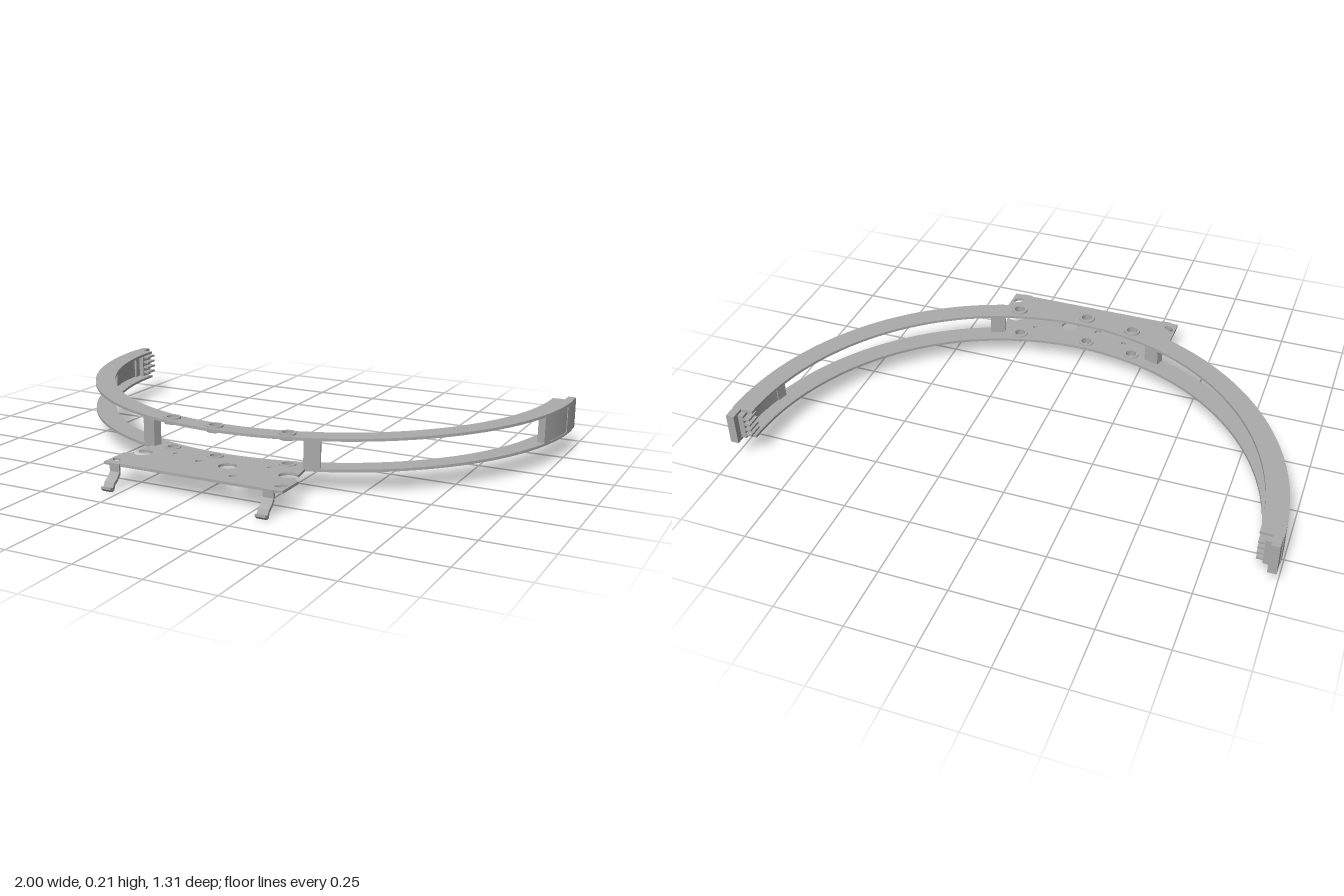
import * as THREE from 'three';

const CZ = -0.605; // centre of the arc in z
const metal = new THREE.MeshStandardMaterial({ color: 0xababab });
metal.name = 'grey metal';

// Plan shapes use (x, -z), then are raised between y0 and y1
function slab(name, shape, y0, y1) {
  const geo = new THREE.ExtrudeGeometry(shape, { depth: y1 - y0, bevelEnabled: false, curveSegments: 64 });
  geo.rotateX(-Math.PI / 2);
  geo.translate(0, y0, 0);
  const mesh = new THREE.Mesh(geo, metal);
  mesh.name = name;
  return mesh;
}

// Ring sector; angle 0 points to the front, positive towards +x
function sector(r0, r1, a0, a1) {
  const s = new THREE.Shape();
  const q = Math.PI / 2;
  s.absarc(0, -CZ, r1, a0 - q, a1 - q, false);
  s.absarc(0, -CZ, r0, a1 - q, a0 - q, true);
  s.closePath();
  return s;
}

function hole(shape, x, z, rx, rz = rx, turn = 0) {
  const p = new THREE.Path();
  p.absellipse(x, -z, rx, rz, 0, Math.PI * 2, true, turn);
  shape.holes.push(p);
}

function box(name, x0, x1, y0, y1, z0, z1) {
  const mesh = new THREE.Mesh(new THREE.BoxGeometry(x1 - x0, y1 - y0, z1 - z0), metal);
  mesh.position.set((x0 + x1) / 2, (y0 + y1) / 2, (z0 + z1) / 2);
  mesh.name = name;
  return mesh;
}

export function createModel() {
  const model = new THREE.Group();
  model.name = 'curvedBracket';
  const eyelets = [[-0.22, 0.333], [-0.027, 0.358], [0.245, 0.325]];

  // Two half-ring rails
  for (const [name, y] of [['lowerRail', 0.08], ['upperRail', 0.19]]) {
    const s = sector(0.92, 1, -Math.PI / 2, Math.PI / 2);
    eyelets.forEach(([x, z]) => hole(s, x, z, 0.02));
    model.add(slab(name, s, y, y + 0.01));
  }

  // Flanged eyelets gripping each rail
  const profile = [[0.02, -0.012], [0.03, -0.012], [0.031, -0.005], [0.022, -0.005],
    [0.022, 0.005], [0.031, 0.005], [0.03, 0.012], [0.02, 0.012], [0.02, -0.012]];
  const eyeletGeo = new THREE.LatheGeometry(profile.map(p => new THREE.Vector2(...p)), 28).toNonIndexed();
  eyeletGeo.computeVertexNormals();
  for (const [x, z] of eyelets) {
    for (const y of [0.082, 0.195]) {
      const e = new THREE.Mesh(eyeletGeo, metal);
      e.position.set(x, y, z);
      e.name = 'eyelet';
      model.add(e);
    }
  }

  // Spacer posts between the rails
  model.add(slab('rightPost', sector(0.965, 0.998, -0.355, -0.294), 0.09, 0.19));
  model.add(slab('leftPost', sector(0.965, 0.998, 0.32, 0.38), 0.09, 0.19));

  // End walls, tabs and comb teeth
  for (const side of [1, -1]) {
    const end = new THREE.Group();
    end.name = side > 0 ? 'leftEnd' : 'rightEnd';
    const wall = (name, r0, r1, a0, a1) => end.add(slab(name,
      sector(r0, r1, Math.min(side * a0, side * a1), Math.max(side * a0, side * a1)), 0.09, 0.19));
    wall('wallStart', 0.97, 1, 1.308, 1.351);
    wall('wallPanel', 0.974, 0.997, 1.351, 1.505);
    wall('wallEnd', 0.965, 1, 1.505, Math.PI / 2);
    const add = (name, x0, x1, ...r) =>
      end.add(box(name, Math.min(side * x0, side * x1), Math.max(side * x0, side * x1), ...r));
    add('endTab', 0.966, 0.997, 0.08, 0.2, -0.655, -0.6);
    add('toothBase', 0.945, 0.97, 0.09, 0.19, -0.63, -0.57);
    for (let i = 0; i < 4; i++) {
      const y = 0.107 + i * 0.023;
      add('tooth', 0.922, 0.966, y - 0.004, y + 0.004, -0.63, -0.575);
    }
    model.add(end);
  }

  // Mounting plate with open notches at both sides
  const p = new THREE.Shape();
  p.moveTo(-0.305, -0.347);
  p.lineTo(-0.309, -0.422);
  p.absarc(-0.28, -0.44, 0.034, 2.58, 3.55, true);
  p.lineTo(-0.342, -0.475);
  p.lineTo(-0.342, -0.595);
  p.lineTo(0.364, -0.595);
  p.lineTo(0.364, -0.48);
  p.lineTo(0.336, -0.453);
  p.absarc(0.305, -0.437, 0.034, -0.4, 0.56, true);
  p.lineTo(0.321, -0.341);
  p.absarc(0, -CZ, 0.998, -1.243, -1.881, true);
  p.closePath();
  hole(p, 0.07, 0.44, 0.033);
  hole(p, -0.05, 0.435, 0.013);
  hole(p, 0.14, 0.53, 0.013);
  hole(p, -0.17, 0.394, 0.01);
  hole(p, 0.205, 0.386, 0.008);
  hole(p, -0.315, 0.555, 0.021, 0.013, -0.7);
  hole(p, 0.335, 0.55, 0.021, 0.013, 0.7);
  model.add(slab('mountingPlate', p, 0.08, 0.09));

  // Bent spring clips: a strip profile in (z, y), extruded across x
  const path = [[0.59, 0.09], [0.6, 0.09], [0.599, 0.06], [0.614, 0.042], [0.632, 0.031],
    [0.64, 0.015], [0.655, 0.018], [0.655, 0.01], [0.644, 0], [0.633, 0.003],
    [0.626, 0.02], [0.607, 0.033], [0.591, 0.052], [0.59, 0.07]];
  const clipShape = new THREE.Shape(path.map(([z, y]) => new THREE.Vector2(-z, y)));
  const clipGeo = new THREE.ExtrudeGeometry(clipShape, { depth: 0.04, bevelEnabled: false });
  clipGeo.rotateY(Math.PI / 2);
  for (const [name, x] of [['rightClip', -0.315], ['leftClip', 0.293]]) {
    const clip = new THREE.Mesh(clipGeo, metal);
    clip.position.x = x;
    clip.name = name;
    model.add(clip);
  }
  return model;
}
